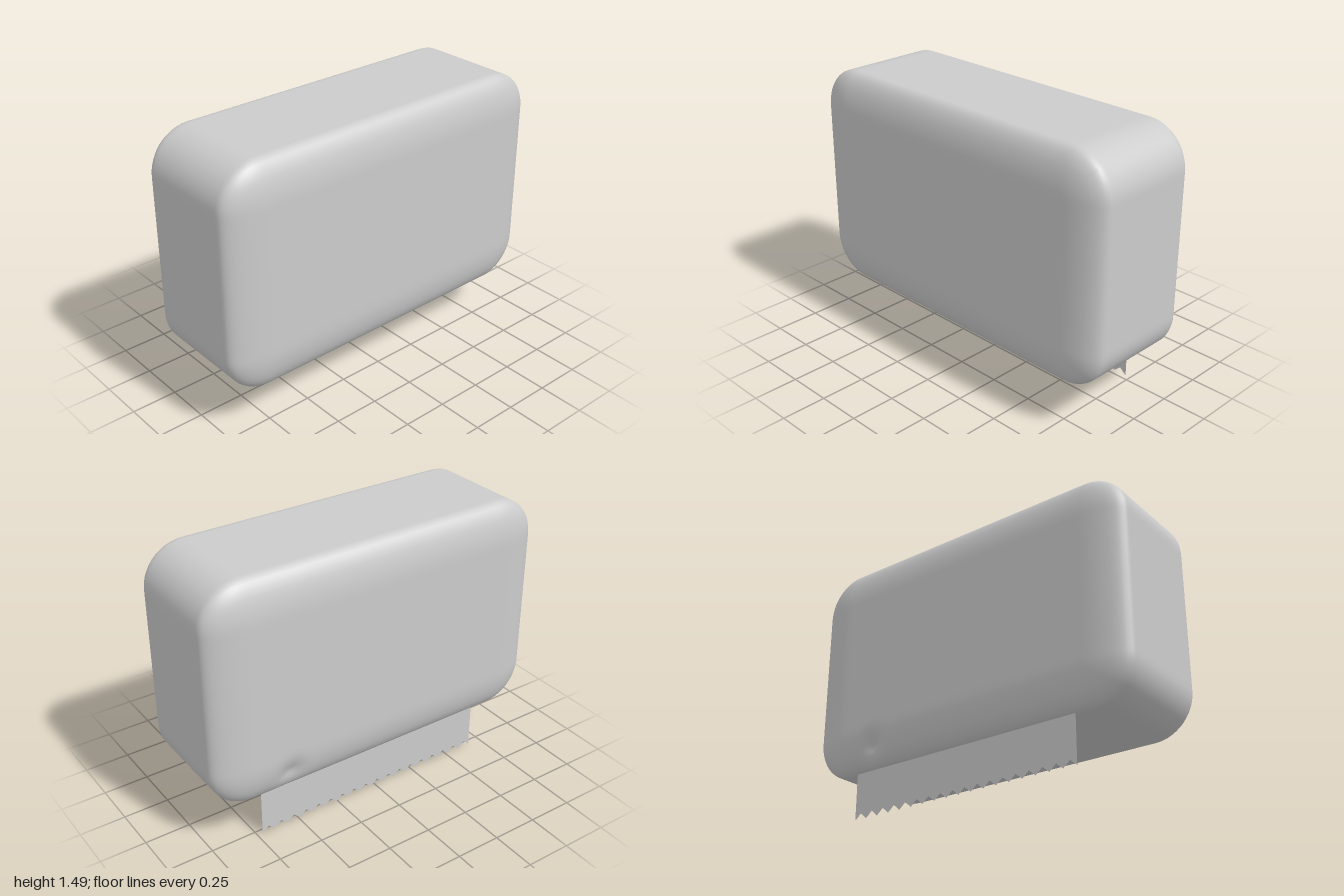
import * as THREE from 'three';
import { mergeVertices } from 'three/addons/utils/BufferGeometryUtils.js';

const material = new THREE.MeshStandardMaterial({ color: 0xcccccc });
const sheetMaterial = new THREE.MeshStandardMaterial({ color: 0xcccccc, side: THREE.DoubleSide });

// Box rounded by a different radius along each axis, so its edges are elliptical
function softBox(half, radius, segments) {
  const geo = new THREE.BoxGeometry(half.x * 2, half.y * 2, half.z * 2, ...segments);
  geo.deleteAttribute('normal');
  geo.deleteAttribute('uv');
  const merged = mergeVertices(geo);
  const pos = merged.attributes.position;
  const core = half.clone().sub(radius);
  const p = new THREE.Vector3();
  for (let i = 0; i < pos.count; i++) {
    p.fromBufferAttribute(pos, i);
    const inner = p.clone().clamp(core.clone().negate(), core);
    p.sub(inner).divide(radius).normalize().multiply(radius).add(inner);
    pos.setXYZ(i, p.x, p.y, p.z);
  }
  return merged;
}

// Presses a shallow dimple into the back of a geometry
function dimpleBack(geo, x, y, size, depth) {
  const pos = geo.attributes.position;
  for (let i = 0; i < pos.count; i++) {
    if (pos.getZ(i) > -0.2) continue;
    const d = Math.hypot(pos.getX(i) - x, pos.getY(i) - y) / size;
    if (d < 1) pos.setZ(i, pos.getZ(i) + depth * (1 - d) ** 2);
  }
}

// Hanging paper sheet with a saw-toothed lower edge
function sheetGeometry(x0, x1, top, teeth, toothHeight) {
  const shape = new THREE.Shape();
  const step = (x1 - x0) / teeth;
  shape.moveTo(x0, 0);
  for (let i = 0; i < teeth; i++) {
    shape.lineTo(x0 + (i + 0.5) * step, toothHeight);
    shape.lineTo(x0 + (i + 1) * step, 0);
  }
  shape.lineTo(x1, top);
  shape.lineTo(x0, top);
  shape.closePath();
  return new THREE.ShapeGeometry(shape);
}

export function createModel() {
  const model = new THREE.Group();
  model.name = 'towelDispenser';

  // Casing
  const casingGeo = softBox(
    new THREE.Vector3(1, 0.62, 0.355),
    new THREE.Vector3(0.23, 0.23, 0.095),
    [72, 48, 40]
  );
  dimpleBack(casingGeo, 0.57, -0.5, 0.13, 0.03);
  casingGeo.computeVertexNormals();
  const casing = new THREE.Mesh(casingGeo, material);
  casing.name = 'casing';
  casing.position.y = 0.87;
  model.add(casing);

  // Paper sheet, running up into the casing
  const sheet = new THREE.Mesh(sheetGeometry(-0.67, 0.72, 0.3, 18, 0.033), sheetMaterial);
  sheet.name = 'paperSheet';
  sheet.position.z = -0.28;
  model.add(sheet);

  return model;
}
